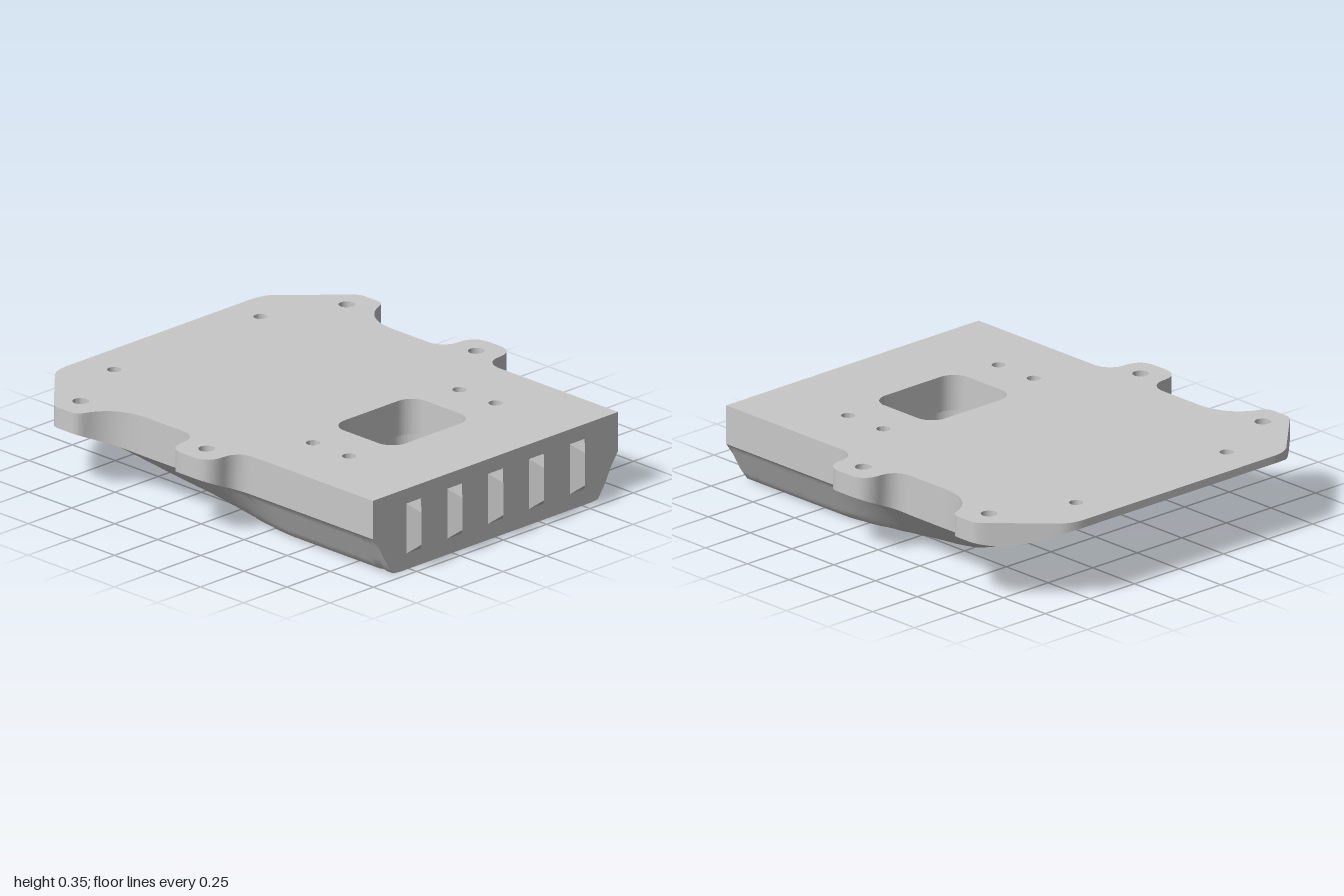
import * as THREE from 'three';
import { mergeGeometries, toCreasedNormals } from 'three/addons/utils/BufferGeometryUtils.js';

const TOP = 0.355, FLOOR = 0.2, FRONT = 0.955, STEP = 0.04;
const V = (x, z) => new THREE.Vector2(x, z);

// All plan contours are lists of (x, z) points, counter-clockwise, with no long segments.
function contour(path) {
  const raw = path.getPoints(10).filter((p, i, a) => i === 0 || p.distanceTo(a[i - 1]) > 1e-5);
  if (raw[0].distanceTo(raw[raw.length - 1]) < 1e-5) raw.pop();
  if (THREE.ShapeUtils.isClockWise(raw)) raw.reverse();
  const out = [];
  raw.forEach((p, i) => {
    const q = raw[(i + 1) % raw.length], n = Math.max(1, Math.ceil(p.distanceTo(q) / STEP));
    for (let k = 0; k < n; k++) out.push(p.clone().lerp(q, k / n));
  });
  return out;
}

function circle(x, z, r) {
  return Array.from({ length: 24 }, (_, i) => V(x + r * Math.cos(i * Math.PI / 12), z + r * Math.sin(i * Math.PI / 12)));
}

function roundRect(x0, x1, z0, z1, r) {
  const s = new THREE.Shape();
  s.moveTo(x0 + r, z0).lineTo(x1 - r, z0).absarc(x1 - r, z0 + r, r, -Math.PI / 2, 0)
    .lineTo(x1, z1 - r).absarc(x1 - r, z1 - r, r, 0, Math.PI / 2)
    .lineTo(x0 + r, z1).absarc(x0 + r, z1 - r, r, Math.PI / 2, Math.PI)
    .lineTo(x0, z0 + r).absarc(x0 + r, z0 + r, r, Math.PI, Math.PI * 1.5);
  return contour(s);
}

// Plan outline with two pairs of mounting ears
function plateOutline() {
  const half = new THREE.Path();
  half.moveTo(0.708, FRONT).lineTo(0.708, 0.265);
  half.bezierCurveTo(0.708, 0.215, 0.74, 0.175, 0.795, 0.175);
  half.bezierCurveTo(0.85, 0.175, 0.885, 0.145, 0.885, 0.09).lineTo(0.885, 0.025);
  half.bezierCurveTo(0.885, -0.03, 0.85, -0.06, 0.795, -0.06);
  half.bezierCurveTo(0.74, -0.06, 0.708, -0.1, 0.708, -0.15).lineTo(0.708, -0.36);
  half.bezierCurveTo(0.708, -0.46, 0.76, -0.545, 0.85, -0.575);
  half.quadraticCurveTo(0.885, -0.59, 0.885, -0.62).lineTo(0.885, -0.7);
  half.quadraticCurveTo(0.885, -0.715, 0.87, -0.735).lineTo(0.635, -0.965);
  half.quadraticCurveTo(0.595, -1, 0.53, -1);
  const right = half.getPoints(10);
  const left = right.map(p => V(-p.x, p.y)).reverse();
  return contour(new THREE.Path([...right, ...left]));
}
const outline = plateOutline();

const smax = (a, b, k) => Math.max(a, b) + Math.max(k - Math.abs(a - b), 0) ** 2 / (4 * k);
const smin = (a, b, k) => -smax(-a, -b, k);

// Height of the underside: flat belly, sloped flanks, shallow ears and a rear ramp
function under(x, z) {
  const ax = Math.abs(x);
  const back = 1 - THREE.MathUtils.smoothstep(z, -0.35, 0.4);
  const foot = 0.598 - 0.1 * back;
  const flank = smin(0.17 * (ax - foot) / (0.69 - foot), 0.178 + 0.44 * (ax - 0.69), 0.02);
  const belly = smax(0, 0.443 * (-z - 0.276), 0.04);
  return smax(belly, flank, 0.04 + 0.05 * back);
}

function geometry(pos) {
  const g = new THREE.BufferGeometry();
  g.setAttribute('position', new THREE.Float32BufferAttribute(pos, 3));
  return g;
}

function triangles(outer, holes) {
  const rings = holes.map(h => [...h].reverse());
  const all = [...outer, ...rings.flat()];
  return THREE.ShapeUtils.triangulateShape([...outer], rings).map(f => f.map(i => all[i]));
}

// Face over a plan region at height y(x, z)
function cap(outer, holes, y, up) {
  const pos = [];
  for (const t of triangles(outer, holes))
    for (const p of up ? [t[0], t[2], t[1]] : t) pos.push(p.x, y(p.x, p.y), p.y);
  const g = geometry(pos);
  g.computeVertexNormals();
  return g;
}

// Upright wall along a contour; inward walls face the middle of a hole
function wall(ring, low, high, inward) {
  const pos = [], pts = inward ? [...ring].reverse() : ring;
  pts.forEach((p, i) => {
    const q = pts[(i + 1) % pts.length];
    const v = (r, f) => [r.x, f(r.x, r.y), r.y];
    pos.push(...v(p, low), ...v(p, high), ...v(q, low), ...v(q, low), ...v(p, high), ...v(q, high));
  });
  return toCreasedNormals(geometry(pos), 0.6);
}

// Curved underside: halve long edges, then lift to the height rule
function undersideGeometry(holes) {
  const pos = [], nor = [], n = new THREE.Vector3(), e = 0.004;
  const add = p => {
    pos.push(p.x, under(p.x, p.y), p.y);
    n.set(under(p.x + e, p.y) - under(p.x - e, p.y), -2 * e, under(p.x, p.y + e) - under(p.x, p.y - e)).normalize();
    nor.push(n.x, n.y, n.z);
  };
  const split = (a, b, c) => {
    const ab = a.distanceTo(b), bc = b.distanceTo(c), ca = c.distanceTo(a), longest = Math.max(ab, bc, ca);
    if (longest <= STEP + 1e-4) {
      [a, b, c].forEach(add);
    } else if (ab === longest) {
      const mid = a.clone().add(b).multiplyScalar(0.5);
      split(a, mid, c);
      split(mid, b, c);
    } else {
      split(b, c, a);
    }
  };
  triangles(outline, holes).forEach(t => split(...t));
  const g = geometry(pos);
  g.setAttribute('normal', new THREE.Float32BufferAttribute(nor, 3));
  return g;
}

export function createModel() {
  const group = new THREE.Group();
  const grey = new THREE.MeshStandardMaterial({ color: 0xc8c8c8 });
  grey.name = 'lightGrey';
  const add = (name, ...parts) => {
    const mesh = new THREE.Mesh(parts.length > 1 ? mergeGeometries(parts) : parts[0], grey);
    mesh.name = name;
    group.add(mesh);
  };
  const at = y => () => y;
  const mirrored = list => list.flatMap(([x, z]) => [[x, z], [-x, z]]);

  // Plan contours of every opening
  const windowRing = roundRect(-0.235, 0.235, 0.233, 0.592, 0.08);
  const pocketRing = roundRect(-0.475, 0.475, -0.03, 0.88, 0.08);
  const ears = mirrored([[0.768, -0.682], [0.778, 0.06]]);
  const earTop = ears.map(([x, z]) => circle(x, z, 0.034));
  const earBottom = ears.map(([x, z]) => circle(x, z, 0.05));
  const pins = mirrored([[0.422, -0.835], [0.422, 0.32], [0.422, 0.53]]).map(([x, z]) => circle(x, z, 0.029));
  const sockets = mirrored([[0.38, 0.8], [0.38, 0.05]]).map(([x, z]) => circle(x, z, 0.034));
  const slots = Array.from({ length: 13 }, (_, i) => {
    const x = (i - 6) * 0.083;
    return roundRect(x - 0.016, x + 0.016, -0.98, -0.49, 0.012);
  });

  // Main shell
  add('topPlate', cap(outline, [windowRing, ...earTop, ...pins], at(TOP), true));
  add('underside', undersideGeometry([pocketRing, ...earBottom, ...slots]));
  add('outerWall', wall(outline, under, at(TOP), false));

  // Underside pocket and the window through it
  add('pocketWall', wall(pocketRing, under, at(FLOOR), true));
  add('pocketFloor', cap(pocketRing, [windowRing, ...sockets], at(FLOOR), false));
  add('windowWall', wall(windowRing, at(FLOOR), at(TOP), true));

  // Stepped bolt holes in the ears
  earTop.forEach((ring, i) => add('earHole',
    wall(ring, at(0.31), at(TOP), true),
    wall(earBottom[i], under, at(0.31), true),
    cap(earBottom[i], [ring], at(0.31), false)));

  // Blind holes in the top plate and the pocket floor
  pins.forEach(r => add('pinHole', wall(r, at(0.3), at(TOP), true), cap(r, [], at(0.3), true)));
  sockets.forEach(r => add('socket', wall(r, at(FLOOR), at(0.27), true), cap(r, [], at(0.27), false)));

  // Grip grooves along the rear ramp
  const grooveTop = (x, z) => under(x, z) + 0.02;
  slots.forEach(r => add('gripGroove', wall(r, under, grooveTop, true), cap(r, [], grooveTop, false)));

  // Pointed ribs on the front face
  for (let i = -2; i <= 2; i++) {
    const rib = new THREE.BoxGeometry(0.084, 0.22, 0.045);
    const p = rib.attributes.position;
    for (let k = 0; k < p.count; k++) if (p.getZ(k) > 0) p.setXY(k, 0, p.getY(k) * 0.64);
    rib.computeVertexNormals();
    rib.translate(i * 0.236, 0.18, FRONT + 0.0225);
    add('frontRib', rib);
  }
  return group;
}
